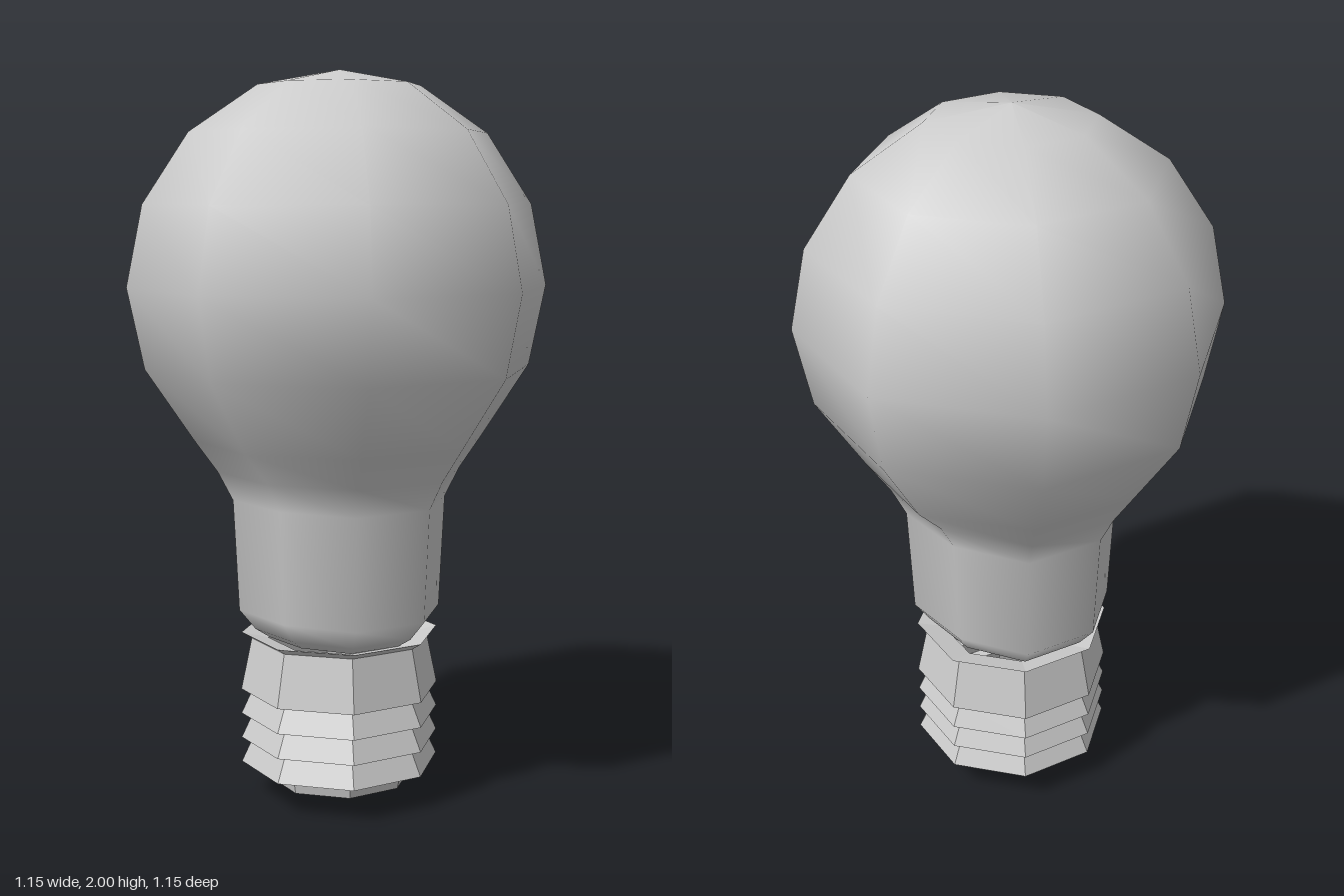
import * as THREE from 'three';

const SIDES = 8;

// Eight-sided turned part; profile runs from bottom to top as [radius, y]
function turned(name, profile, flat) {
  const points = profile.map(([r, y]) => new THREE.Vector2(r, y));
  let geometry = new THREE.LatheGeometry(points, SIDES);
  if (flat) geometry = geometry.toNonIndexed();
  const material = new THREE.MeshStandardMaterial({
    color: 0xcccccc, flatShading: flat, side: THREE.DoubleSide,
  });
  const mesh = new THREE.Mesh(geometry, material);
  mesh.name = name;
  return mesh;
}

export function createModel() {
  const group = new THREE.Group();
  group.name = 'lightBulb';

  // Glass: round globe running down into a narrow neck
  const glass = turned('glassBulb', [
    [0.2, 0.45], [0.24, 0.475], [0.285, 0.53], [0.3, 0.84], [0.34, 0.92],
    [0.4, 1.01], [0.53, 1.205], [0.575, 1.425], [0.53, 1.645],
    [0.405, 1.835], [0.22, 1.96], [0, 2],
  ], false);

  // The neck is slightly flattened from front to back
  const pos = glass.geometry.attributes.position;
  for (let i = 0; i < pos.count; i++) {
    const x = pos.getX(i), z = pos.getZ(i);
    const r = Math.hypot(x, z);
    const squash = THREE.MathUtils.clamp((1.01 - pos.getY(i)) / 0.13, 0, 1);
    if (r > 0) pos.setZ(i, z * (1 - 0.13 * squash * (z / r) ** 4));
  }
  group.add(glass);

  // Screw base: stacked flared rings under a thin top lip
  const profile = [[0.18, 0.095]];
  for (const [bottom, top] of [[0.095, 0.16], [0.165, 0.23], [0.235, 0.3], [0.305, 0.45]]) {
    profile.push([0.277, bottom], [0.247, top]);
  }
  profile.push([0.275, 0.468], [0.2, 0.45]);
  group.add(turned('screwBase', profile, true));

  // Rounded contact under the base
  group.add(turned('contactCap', [
    [0, 0], [0.09, 0.005], [0.2, 0.045], [0.212, 0.1],
  ], true));

  return group;
}
